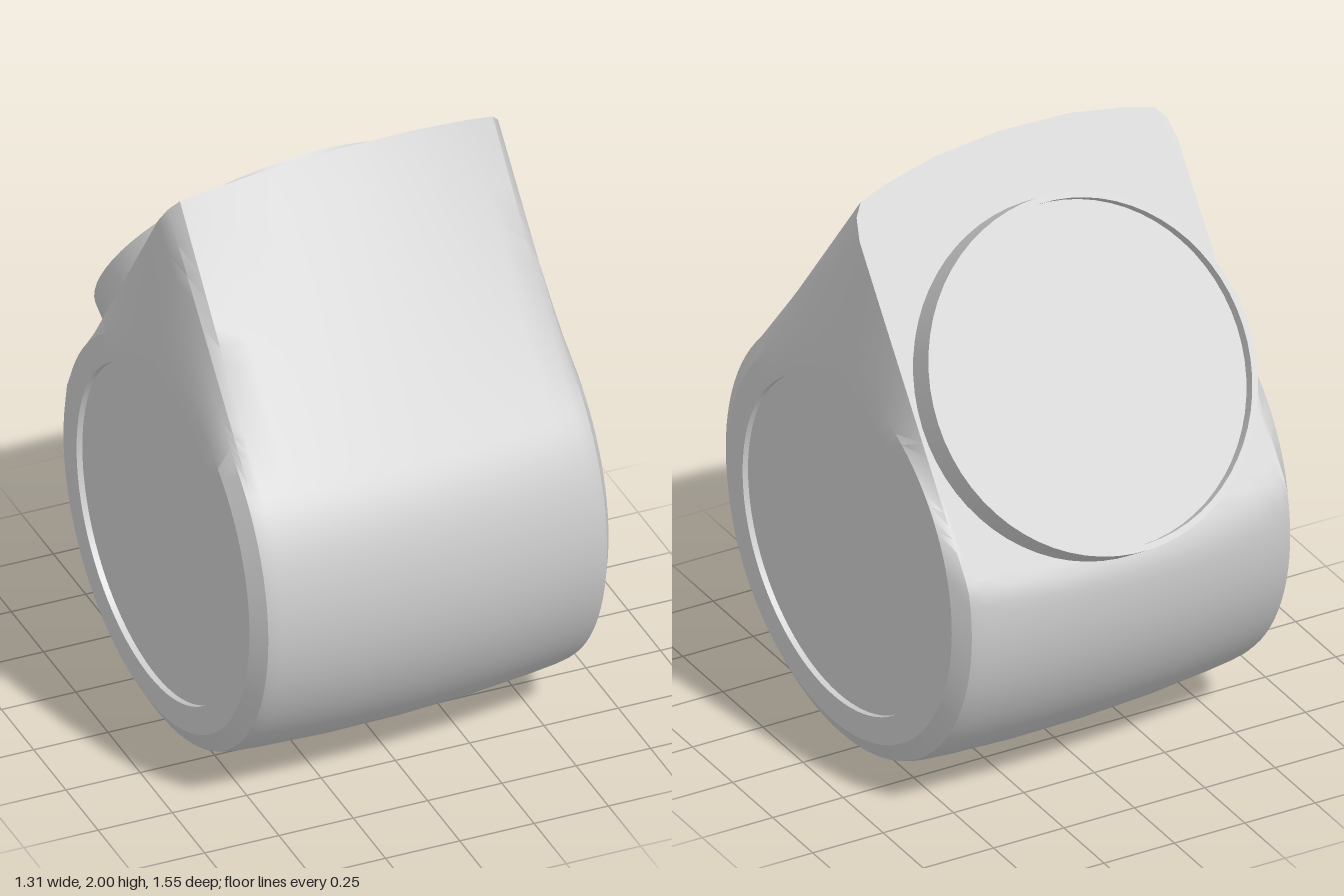
import * as THREE from 'three';
import { toCreasedNormals } from 'three/addons/utils/BufferGeometryUtils.js';

const CZ = 0.035, CY = 0.735;            // barrel axis
const BACK = Math.atan2(0.55, -0.835);   // direction the flat back faces
const BACK_DIST = 0.658;                 // distance of the flat back from the axis
const N = 96;

// One cross-section: a circle, or a teardrop when a crest height is given
function section([x, r, crest]) {
  const az = crest ? 0.08 - 0.66 * (2 - crest) - CZ : 0;
  const ay = crest ? crest - CY : 1;
  const apex = Math.atan2(ay, az);
  const front = crest ? apex - Math.acos(r / Math.hypot(az, ay)) : apex;
  const points = [];
  for (let i = 0; i < N; i++) {
    const a = apex + (i / N) * Math.PI * 2;
    const toBack = Math.cos(a - BACK);
    const flat = toBack > 0.1 ? BACK_DIST / toBack : Infinity;
    let rho = Math.min(r, flat);
    if (crest && a <= BACK) rho = flat;
    if (crest && a - Math.PI * 2 > front) rho = r / Math.cos(a - Math.PI * 2 - front);
    if (crest && i === 0) rho = Math.hypot(az, ay);
    points.push([x, CY + rho * Math.sin(a), CZ + rho * Math.cos(a)]);
  }
  return points;
}

// Skin a list of sections running along x
function loft(stations) {
  const position = stations.flatMap(section).flat();
  const index = [];
  for (let s = 0; s < stations.length - 1; s++) {
    for (let i = 0; i < N; i++) {
      const j = (i + 1) % N;
      const a = s * N + i, b = s * N + j, c = a + N, d = b + N;
      index.push(a, c, b, b, c, d);
    }
  }
  const geometry = new THREE.BufferGeometry();
  geometry.setAttribute('position', new THREE.Float32BufferAttribute(position, 3));
  geometry.setIndex(index);
  return toCreasedNormals(geometry, 0.5);
}

export function createModel() {
  const model = new THREE.Group();
  model.name = 'teardropHousing';
  const grey = new THREE.MeshStandardMaterial({ color: 0xcccccc });
  const add = (name, geometry) => {
    const mesh = new THREE.Mesh(geometry, grey);
    mesh.name = name;
    model.add(mesh);
    return mesh;
  };

  // Teardrop body: recess wall, rim, bevel, then the slightly bulged barrel
  const half = [
    [0.6, 0.55], [0.62, 0.55], [0.62, 0.64], [0.585, 0.7, 1.84], [0.57, 0.705, 1.9],
    [0.54, 0.71, 1.935], [0.45, 0.718, 1.957], [0.25, 0.73, 1.988],
  ];
  const left = half.map(([x, ...rest]) => [-x, ...rest]);
  add('body', loft([...left, [0, 0.735, 2], ...half.slice().reverse()]));

  // Recessed round panels in both sides
  for (const side of [-1, 1]) {
    const panel = add(side > 0 ? 'leftPanel' : 'rightPanel', new THREE.CircleGeometry(0.551, 64));
    panel.position.set(side * 0.6, CY, CZ);
    panel.rotation.y = side * Math.PI / 2;
  }

  // Raised ring with a sunken panel on the sloping back
  const profile = [[0.57, -0.1], [0.57, 0.08], [0.55, 0.08], [0.55, 0.04], [0, 0.04]]
    .map(([r, y]) => new THREE.Vector2(r, y));
  const ring = add('backRing', toCreasedNormals(new THREE.LatheGeometry(profile, 64), 0.5));
  const normal = new THREE.Vector3(0, 0.56, -0.83).normalize();
  ring.quaternion.setFromUnitVectors(new THREE.Vector3(0, 1, 0), normal);
  ring.position.set(0, 1.39, -0.45).addScaledVector(normal, -0.08);

  // The whole body is turned slightly
  model.rotation.y = 0.056;
  const root = new THREE.Group();
  root.name = 'model';
  root.add(model);
  return root;
}
